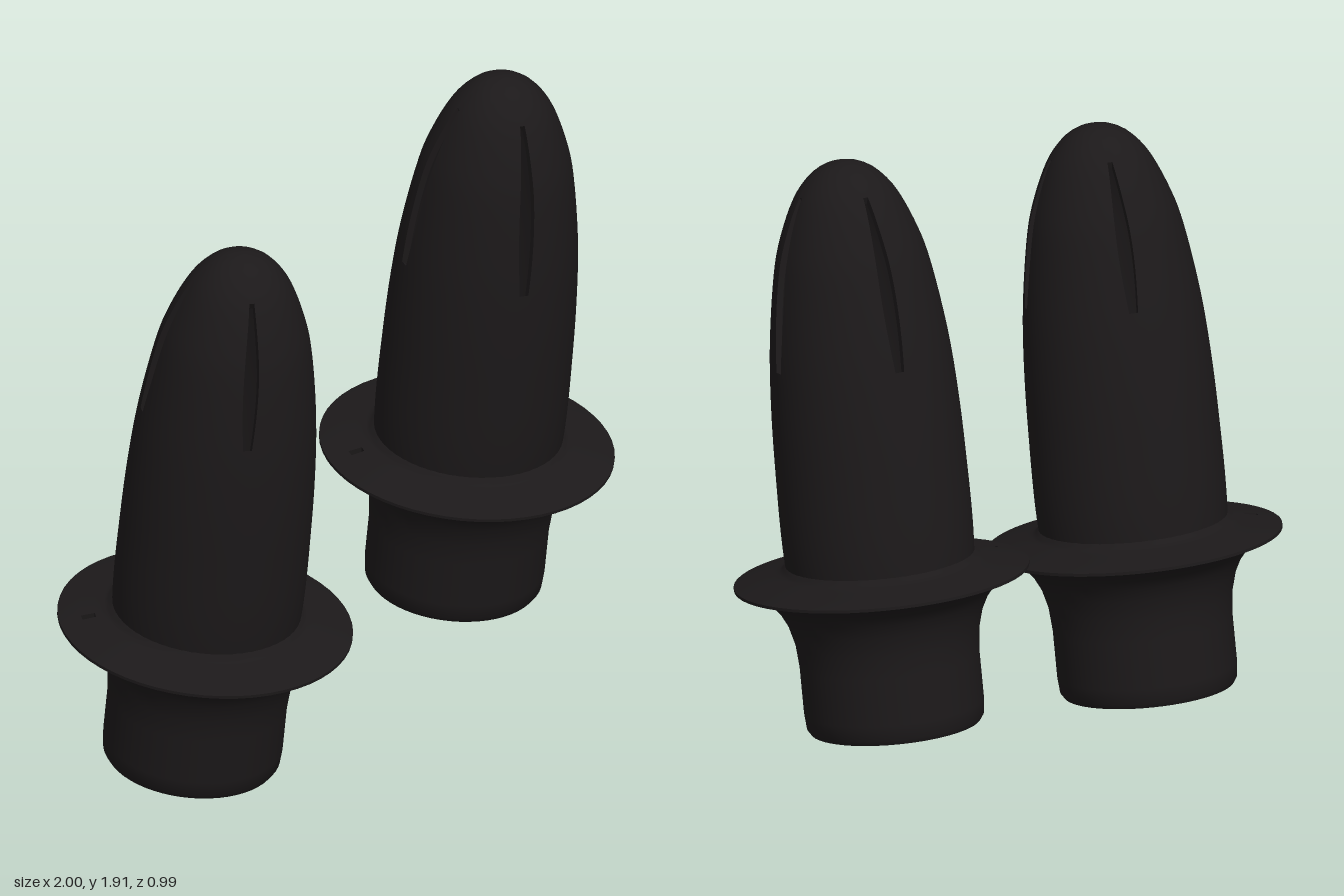
import * as THREE from 'three';
import { toCreasedNormals } from 'three/addons/utils/BufferGeometryUtils.js';

const material = new THREE.MeshStandardMaterial({ color: 0x1c191a, side: THREE.DoubleSide });
const pt = ([r, y]) => new THREE.Vector2(r, y);

// Two-skinned surface of revolution with slots cut through both skins.
// outer / inner: equal-length rows of (radius, height); progress(p) runs 0..1 along a slot;
// slots: centre angles; halfAngle(t): half the slot's opening.
function slottedShell(outer, inner, slots, columns, progress, halfAngle) {
  const rows = outer.length, total = slots.length * columns;
  const position = [], index = [];
  const inSlot = outer.map((p) => { const t = progress(p); return t >= 0 && t <= 1; });
  for (const skin of [outer, inner]) {
    skin.forEach((p, i) => {
      const half = halfAngle(THREE.MathUtils.clamp(progress(outer[i]), 0, 1));
      const sector = 2 * Math.PI / slots.length;
      for (const centre of slots) {
        for (let c = 0; c < columns; c++) {
          // the first column of each sector spans the slot
          const a = centre + (c === 0 ? -half
            : half + (sector - 2 * half) * (c - 1) / (columns - 1));
          position.push(p.x * Math.cos(a), p.y, p.x * Math.sin(a));
        }
      }
    });
  }
  const at = (skin, i, j) => (skin * rows + i) * total + (j % total);
  const quad = (a, b, c, d) => index.push(a, b, c, a, c, d);
  for (let j = 0; j < total; j++) {
    const k = j + 1;
    for (let i = 0; i < rows - 1; i++) {
      const n = i + 1;
      if (j % columns === 0 && inSlot[i] && inSlot[n]) {
        // slot side walls and end walls
        quad(at(0, i, j), at(1, i, j), at(1, n, j), at(0, n, j));
        quad(at(0, i, k), at(0, n, k), at(1, n, k), at(1, i, k));
        if (!inSlot[i - 1]) quad(at(0, i, j), at(0, i, k), at(1, i, k), at(1, i, j));
        if (!inSlot[n + 1]) quad(at(0, n, j), at(1, n, j), at(1, n, k), at(0, n, k));
        continue;
      }
      quad(at(0, i, j), at(0, n, j), at(0, n, k), at(0, i, k));
      quad(at(1, i, j), at(1, i, k), at(1, n, k), at(1, n, j));
    }
    // join the two skins at both ends
    const e = rows - 1;
    quad(at(0, 0, j), at(0, 0, k), at(1, 0, k), at(1, 0, j));
    quad(at(0, e, j), at(1, e, j), at(1, e, k), at(0, e, k));
  }
  const geometry = new THREE.BufferGeometry();
  geometry.setAttribute('position', new THREE.Float32BufferAttribute(position, 3));
  geometry.setIndex(index);
  return toCreasedNormals(geometry, 0.75);
}

// Tall pointed dome, hollow to the base, with four long slits
function domeGeometry(slitStart, slitEnd) {
  const outer = new THREE.SplineCurve([
    [0.25, 0.01], [0.262, 0.3], [0.28, 0.55], [0.28, 0.8], [0.274, 1.0], [0.26, 1.18],
    [0.23, 1.38], [0.2, 1.49], [0.152, 1.6], [0.1, 1.665], [0.05, 1.695], [0, 1.705],
  ].map(pt)).getSpacedPoints(72);
  outer[outer.length - 1].x = 0;
  const inner = outer.map((p) => new THREE.Vector2(p.x * 0.93, p.y * 0.987));
  const slits = [0, 1, 2, 3].map((k) => k * Math.PI / 2);
  return slottedShell(outer, inner, slits, 14,
    (p) => (p.y - slitStart) / (slitEnd - slitStart),
    (t) => 0.05 + 0.05 * Math.sin(Math.PI * t));
}

// Base sleeve flaring into a thin flange that has one small hole
function collarGeometry() {
  const under = [
    [0.235, 0.005], [0.25, 0], [0.26, 0.015], [0.264, 0.06], [0.264, 0.2], [0.27, 0.27],
    [0.286, 0.33], [0.306, 0.37], [0.33, 0.4], [0.37, 0.426], [0.41, 0.44], [0.434, 0.447],
  ].map(pt);
  const top = [
    [0.265, 0.51], [0.27, 0.51], [0.275, 0.508], [0.28, 0.503], [0.285, 0.498], [0.29, 0.493],
    [0.298, 0.489], [0.312, 0.485], [0.33, 0.481], [0.37, 0.472], [0.41, 0.463], [0.434, 0.456],
  ].map(pt);
  return slottedShell(under, top, [Math.PI * 1.015], 56,
    (p) => (p.x - 0.3299) / 0.0402, () => 0.032);
}

function part(name, geometry) {
  const mesh = new THREE.Mesh(geometry, material);
  mesh.name = name;
  return mesh;
}

export function createModel() {
  const model = new THREE.Group();
  model.name = 'slottedPlugPair';
  const collar = collarGeometry();
  const plugs = [
    { name: 'rightPlug', at: [-0.567, 0.038, -0.003], spin: 28, slit: [1.18, 1.62] },
    { name: 'leftPlug', at: [0.563, 0.225, -0.132], spin: 17, slit: [1.1, 1.62] },
  ];
  for (const { name, at, spin, slit } of plugs) {
    const plug = new THREE.Group();
    plug.name = name;
    plug.add(part('dome', domeGeometry(...slit)), part('flangedCollar', collar));
    plug.position.set(...at);
    // turned on its own axis, then leaning forward
    plug.rotation.set(0.137, -THREE.MathUtils.degToRad(spin), 0);
    model.add(plug);
  }
  return model;
}
